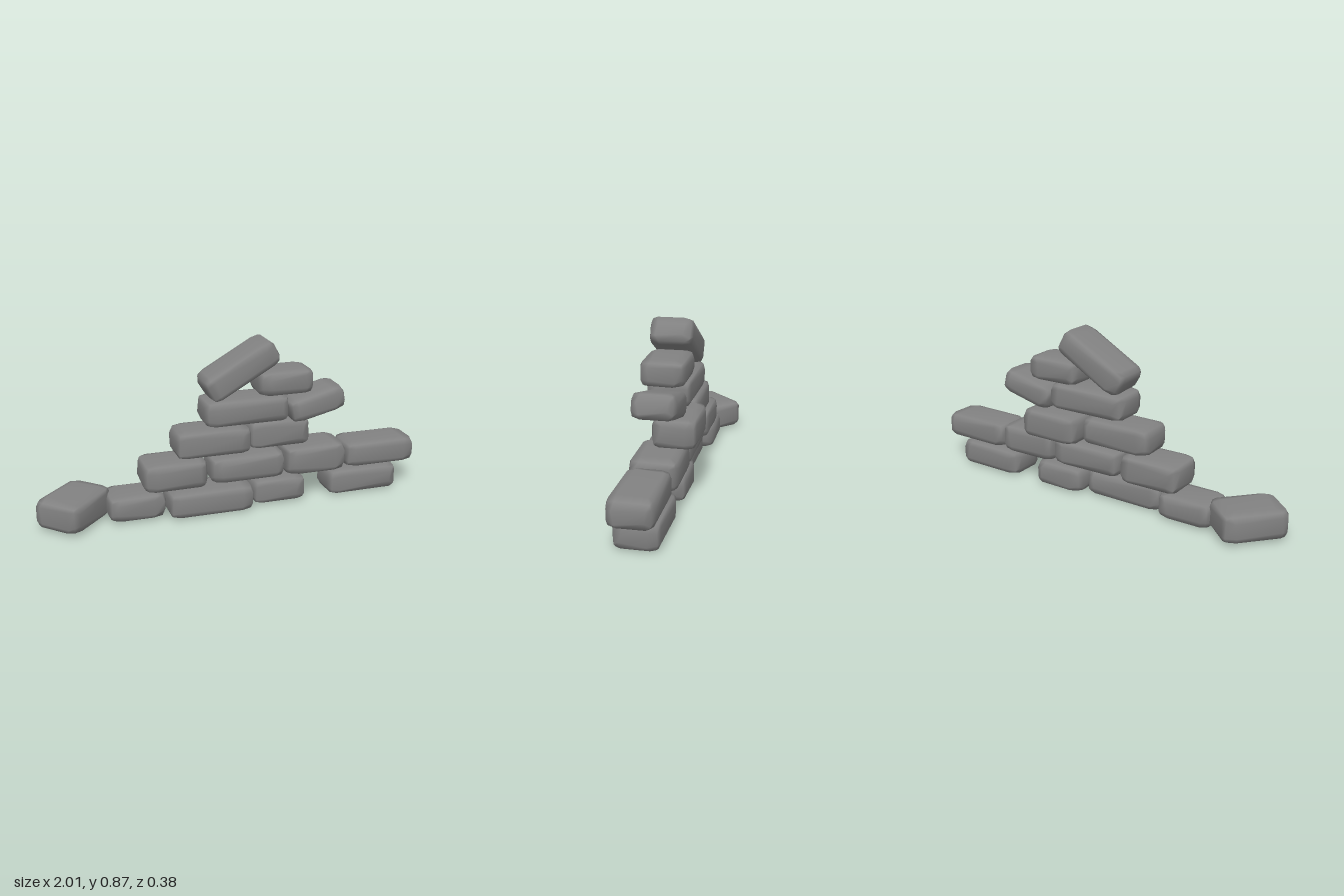
import * as THREE from 'three';
import { mergeVertices } from 'three/addons/utils/BufferGeometryUtils.js';

const material = new THREE.MeshStandardMaterial({ color: 0x828282 });
const DEPTH = 0.218;

// Worn brick: a 3x3x3 box whose inner rows become a bevel, pulled in at edges and corners
function brickGeometry(size, seed) {
  let geo = new THREE.BoxGeometry(1, 1, 1, 3, 3, 3);
  geo.deleteAttribute('normal');
  geo.deleteAttribute('uv');
  geo = mergeVertices(geo);
  const pos = geo.attributes.position;
  const bevel = [0.055, 0.036, 0.045];
  for (let i = 0; i < pos.count; i++) {
    const c = [pos.getX(i), pos.getY(i), pos.getZ(i)];
    const outer = c.filter(v => Math.abs(v) > 0.4).length;
    const pull = [0, 0, 0.24, 0.38][outer];
    c.forEach((v, axis) => {
      const wobble = 0.5 + 0.5 * Math.sin(seed * 7.3 + i * 2.7 + axis * 4.1);
      const inset = Math.abs(v) > 0.4
        ? bevel[axis] * pull + 0.003 * wobble
        : bevel[axis] * (0.75 + 0.5 * wobble);
      pos.setComponent(i, axis, Math.sign(v) * (size[axis] / 2 - inset));
    });
  }
  geo.computeVertexNormals();
  return geo;
}

export function createModel() {
  const group = new THREE.Group();
  let count = 0;

  function addBrick(name, size, position, turn = 0, tilt = 0) {
    const brick = new THREE.Mesh(brickGeometry(size, ++count), material);
    brick.name = name;
    brick.position.set(...position);
    brick.rotation.set(0, turn, tilt);
    group.add(brick);
  }

  // Level courses: [left, right, bottom, top, z offset, depth]
  const courses = [
    [[-0.662, -0.37, 0.004, 0.137, 0], [-0.365, 0.08, 0, 0.138, 0.045],
     [0.088, 0.379, 0.002, 0.137, 0], [0.509, 0.903, 0, 0.138, 0]],
    [[-0.483, -0.153, 0.14, 0.288, 0, 0.236], [-0.137, 0.263, 0.144, 0.283, 0],
     [0.263, 0.597, 0.144, 0.297, 0, 0.236], [0.602, 1, 0.144, 0.281, 0]],
    [[-0.314, 0.08, 0.294, 0.436, 0], [0.086, 0.418, 0.285, 0.436, -0.057]],
    [[-0.164, 0.281, 0.445, 0.583, 0]],
    [[0.116, 0.411, 0.581, 0.711, 0]],
  ];
  courses.forEach((course, row) => course.forEach(([x0, x1, y0, y1, z, depth = DEPTH], i) =>
    addBrick(`course${row + 1}Brick${i + 1}`, [x1 - x0, y1 - y0, depth],
      [(x0 + x1) / 2, (y0 + y1) / 2, z])));

  // Displaced bricks
  addBrick('fallenBrick', [0.335, 0.151, 0.248], [-0.819, 0.085, -0.002], 0.81);
  addBrick('slippedBrick', [0.308, 0.128, DEPTH], [0.435, 0.516, 0], 0, 0.24);
  addBrick('toppledBrick', [0.41, 0.138, DEPTH], [0.031, 0.722, 0], 0, 0.52);

  return group;
}
